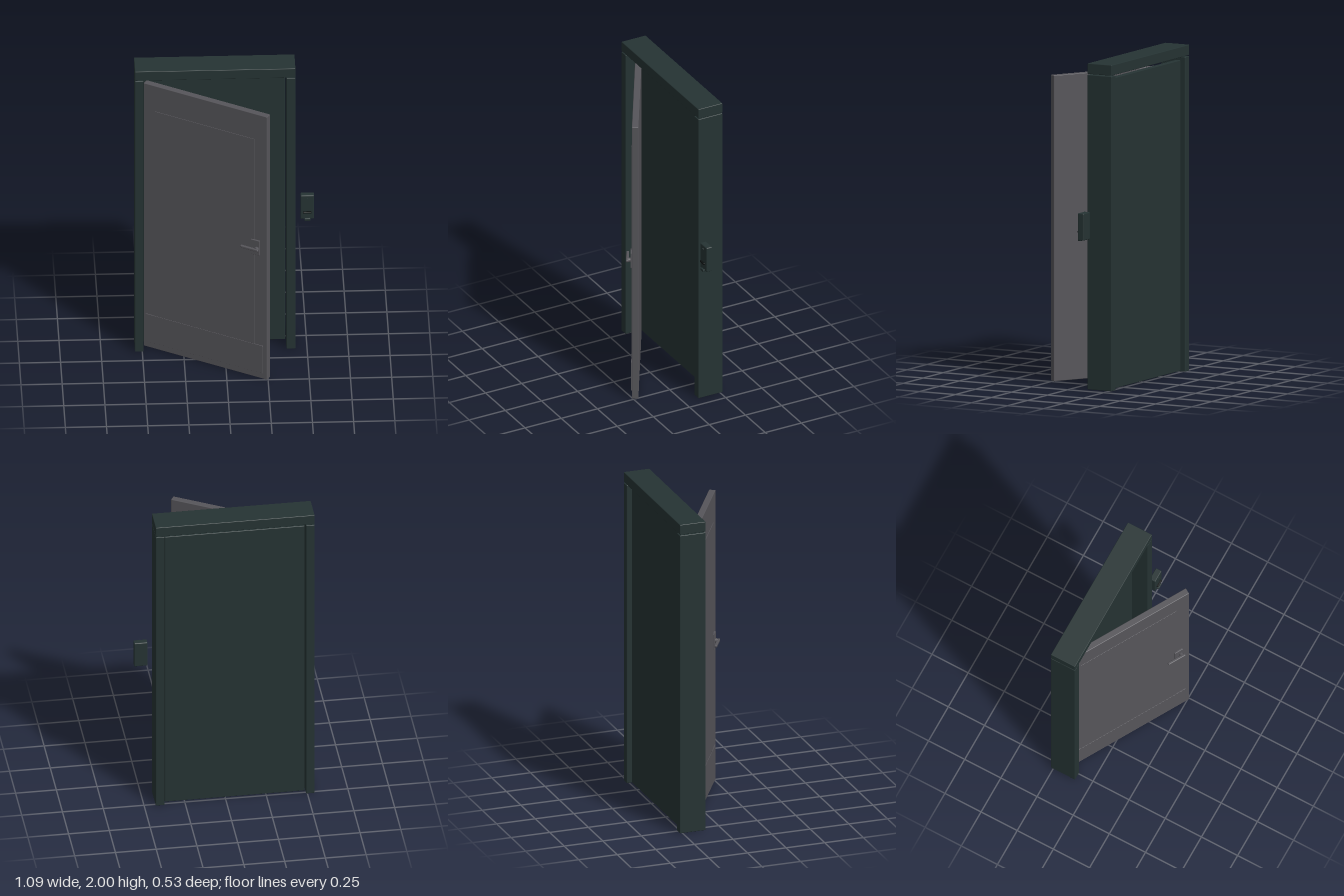
import * as THREE from 'three';
import { RoundedBoxGeometry } from 'three/addons/geometries/RoundedBoxGeometry.js';

const material = (name, color) => {
  const m = new THREE.MeshStandardMaterial({ color });
  m.name = name;
  return m;
};

// Rounded block given by its min and max on each axis
function block(parent, name, mat, [x0, x1], [y0, y1], [z0, z1], r = 0.004) {
  const geo = new RoundedBoxGeometry(x1 - x0, y1 - y0, z1 - z0, 2, r);
  const mesh = new THREE.Mesh(geo, mat);
  mesh.name = name;
  mesh.position.set((x0 + x1) / 2, (y0 + y1) / 2, (z0 + z1) / 2);
  parent.add(mesh);
  return mesh;
}

export function createModel() {
  const model = new THREE.Group();
  model.name = 'doorway';
  const green = material('dark green', 0x253333);
  const grey = material('warm grey', 0x56555a);
  const black = material('black', 0x0c1111);

  // Frame: two posts and a lintel
  const frame = new THREE.Group();
  frame.name = 'frame';
  model.add(frame);
  const depth = [-0.267, -0.1];
  block(frame, 'rightPost', green, [-0.545, -0.492], [0, 1.93], depth);
  block(frame, 'leftPost', green, [0.375, 0.43], [0, 1.93], depth);
  block(frame, 'lintel', green, [-0.545, 0.43], [1.935, 2], depth);

  // Panel closing the opening behind the door, with a slit left above it
  block(frame, 'backPanel', green, [-0.488, 0.37], [0.004, 1.91], [-0.237, -0.204]);

  // Door swung open 30 degrees about its hinge edge
  const door = new THREE.Group();
  door.name = 'door';
  door.position.set(-0.48, 0, -0.182);
  door.rotation.y = -Math.PI / 6;
  model.add(door);
  block(door, 'leaf', grey, [0, 0.847], [0.004, 1.88], [-0.02, 0.02]);
  block(door, 'raisedPanel', grey, [0.077, 0.76], [0.24, 1.7], [0.015, 0.023], 0.001);
  block(door, 'kickPlate', grey, [0.015, 0.82], [0.045, 0.24], [0.015, 0.025], 0.001);

  // Handle: backplate, spindle and lever
  const handle = new THREE.Group();
  handle.name = 'handle';
  door.add(handle);
  block(handle, 'backplate', grey, [0.74, 0.798], [0.88, 0.985], [0.018, 0.03], 0.003);
  const spindle = new THREE.Mesh(new THREE.CylinderGeometry(0.014, 0.014, 0.022, 20), grey);
  spindle.name = 'spindle';
  spindle.rotation.x = Math.PI / 2;
  spindle.position.set(0.782, 0.928, 0.037);
  handle.add(spindle);
  block(handle, 'lever', grey, [0.68, 0.802], [0.92, 0.937], [0.04, 0.057], 0.005);

  // Card reader beside the frame
  const reader = new THREE.Group();
  reader.name = 'cardReader';
  model.add(reader);
  block(reader, 'readerBody', green, [0.46, 0.543], [0.928, 1.095], [-0.135, -0.094], 0.006);
  block(reader, 'cardSlot', black, [0.476, 0.526], [0.972, 0.984], [-0.096, -0.083], 0.003);
  block(reader, 'readerTab', green, [0.483, 0.52], [0.92, 0.937], [-0.1, -0.083], 0.004);
  const lamp = new THREE.Mesh(new THREE.CylinderGeometry(0.006, 0.006, 0.006, 16), green);
  lamp.name = 'lamp';
  lamp.rotation.x = Math.PI / 2;
  lamp.position.set(0.501, 1.07, -0.092);
  reader.add(lamp);

  return model;
}
